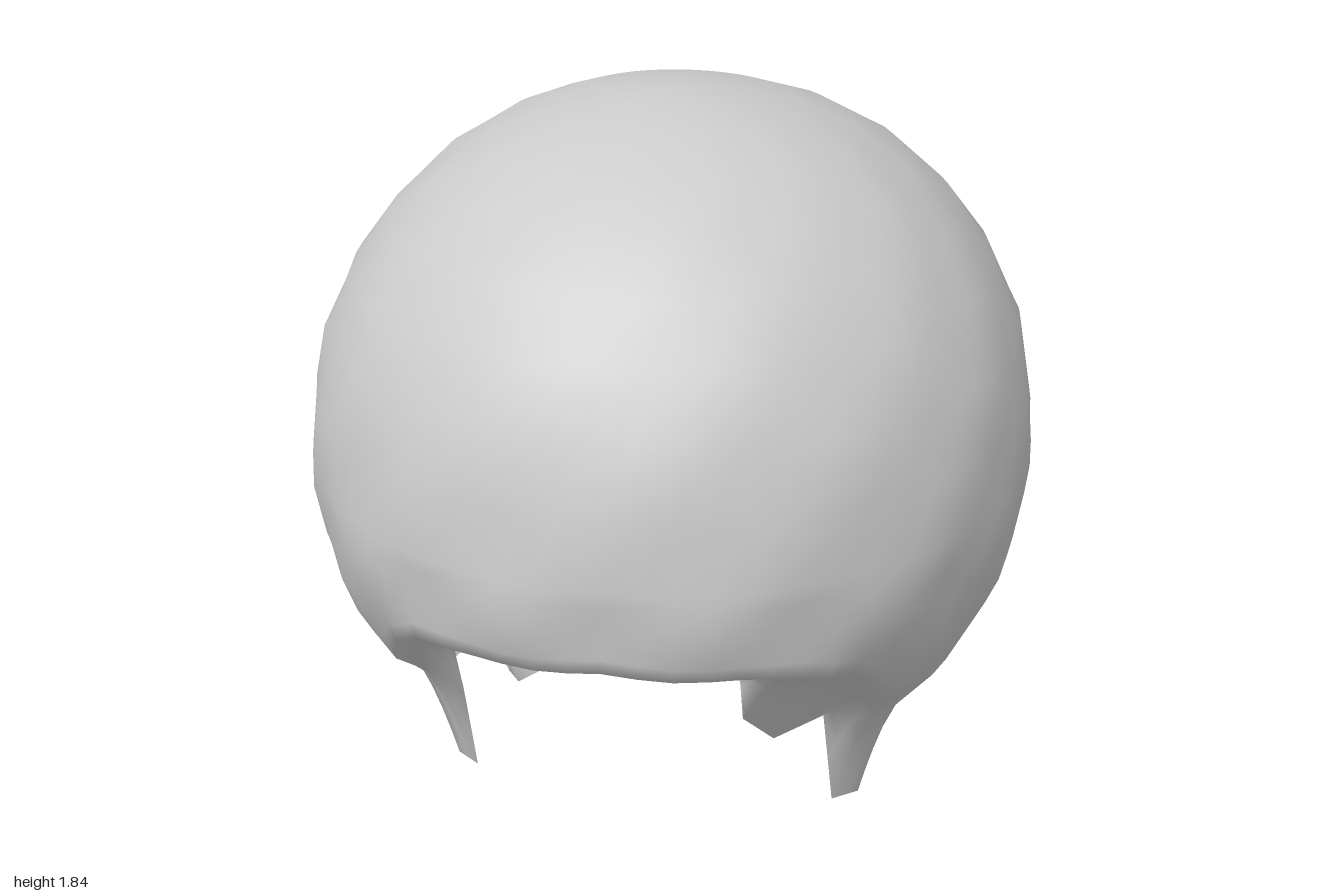
import * as THREE from 'three';

// Each edge point: x, y, z of the edge, then azimuth and polar angle (degrees)
// of the fold on the outer surface from which the hair tucks in to that edge.
const fringeLeft = [
  [0, 0.655, 0.82, 0, 103], [0.15, 0.63, 0.82, 10, 104], [0.29, 0.645, 0.75, 20, 104],
  [0.3, 0.47, 0.73, 28, 105], [0.35, 0.29, 0.52, 38, 108], [0.465, 0.31, 0.42, 50, 120],
];
// The other side of the face opening is swept further out (mirrored below)
const fringeRight = [
  [0.15, 0.63, 0.82, 10, 104], [0.3, 0.645, 0.77, 20, 104], [0.43, 0.595, 0.7, 31, 105],
  [0.44, 0.4, 0.59, 39, 110], [0.475, 0.24, 0.44, 49, 120],
];
// Sideburn, ear notch and nape, shared by both sides
const sideAndNape = [
  [0.485, 0, 0.33, 56, 124], [0.55, 0, 0.28, 63, 125], [0.575, 0.25, 0.2, 71, 122],
  [0.52, 0.28, 0.11, 80, 119], [0.52, 0.27, -0.03, 92, 118], [0.46, 0.14, 0.06, 99, 124],
  [0.45, 0.07, 0, 106, 138], [0.4, 0.045, -0.13, 116, 148], [0.27, 0.02, -0.22, 135, 156],
  [0.13, 0.01, -0.26, 157, 158],
];
const mirror = ([x, y, z, azimuth, polar]) => [-x, y, z, 360 - azimuth, polar];
const edge = [
  ...fringeLeft, ...sideAndNape, [0, 0.01, -0.25, 180, 158],
  ...[...fringeRight, ...sideAndNape].reverse().map(mirror), mirror(fringeLeft[0]),
];

// Outer surface of the rounded hair volume, fuller at the back, with soft lumps
function surfacePoint(polar, azimuth) {
  const d = new THREE.Vector3().setFromSphericalCoords(1, polar, azimuth);
  const e = d.z > 0 ? 2.06 : 2.06 - 0.14 * d.z;
  const sum = (Math.abs(d.x) / 0.94) ** e + (Math.abs(d.y) / 0.91) ** e + (Math.abs(d.z) / 0.99) ** e;
  const lump = 0.01 * Math.cos(azimuth * 13) * Math.cos(polar * 13) * Math.sin(polar) ** 2;
  d.multiplyScalar(sum ** (-1 / e) * (1 + lump));
  d.y += 0.92;
  return d;
}

// Subdivide the edge so the columns are evenly spread round the head
function subdivideEdge() {
  const columns = [];
  for (let i = 0; i < edge.length - 1; i++) {
    const a = edge[i], b = edge[i + 1];
    const n = Math.max(2, Math.ceil((b[3] - a[3]) / 6));
    for (let k = 0; k < n; k++) columns.push(a.map((v, c) => THREE.MathUtils.lerp(v, b[c], k / n)));
  }
  return columns;
}

function hairGeometry() {
  const crownRows = 9, sideRows = 6, tuckRows = 5;
  const rows = crownRows + sideRows + tuckRows;
  const columns = subdivideEdge();
  const positions = [0, 1.835, 0];
  const index = [];

  columns.forEach(([x, y, z, azimuthDeg, polarDeg]) => {
    const azimuth = THREE.MathUtils.degToRad(azimuthDeg);
    const foldPolar = THREE.MathUtils.degToRad(polarDeg);
    // Crown down to the widest level
    for (let j = 1; j <= crownRows; j++) {
      positions.push(...surfacePoint((j / crownRows) * Math.PI / 2, azimuth));
    }
    // Sides down to the fold
    for (let j = 1; j <= sideRows; j++) {
      positions.push(...surfacePoint(THREE.MathUtils.lerp(Math.PI / 2, foldPolar, j / sideRows), azimuth));
    }
    // Tuck inward first, then down to the edge
    const fold = surfacePoint(foldPolar, azimuth);
    for (let j = 1; j <= tuckRows; j++) {
      const s = j / tuckRows, inward = s ** 0.6;
      positions.push(
        THREE.MathUtils.lerp(fold.x, x, inward),
        THREE.MathUtils.lerp(fold.y, y, s),
        THREE.MathUtils.lerp(fold.z, z, inward),
      );
    }
  });

  const at = (i, j) => (j === 0 ? 0 : 1 + (i % columns.length) * rows + j - 1);
  for (let i = 0; i < columns.length; i++) {
    for (let j = 0; j < rows; j++) {
      if (j > 0) index.push(at(i, j), at(i, j + 1), at(i + 1, j));
      index.push(at(i + 1, j), at(i, j + 1), at(i + 1, j + 1));
    }
  }
  const geometry = new THREE.BufferGeometry();
  geometry.setAttribute('position', new THREE.Float32BufferAttribute(positions, 3));
  geometry.setIndex(index);
  geometry.computeVertexNormals();
  return geometry;
}

export function createModel() {
  const group = new THREE.Group();
  group.name = 'hairpiece';
  const material = new THREE.MeshStandardMaterial({ color: 0xcccccc, side: THREE.DoubleSide });
  const hair = new THREE.Mesh(hairGeometry(), material);
  hair.name = 'hairShell';
  group.add(hair);
  return group;
}
